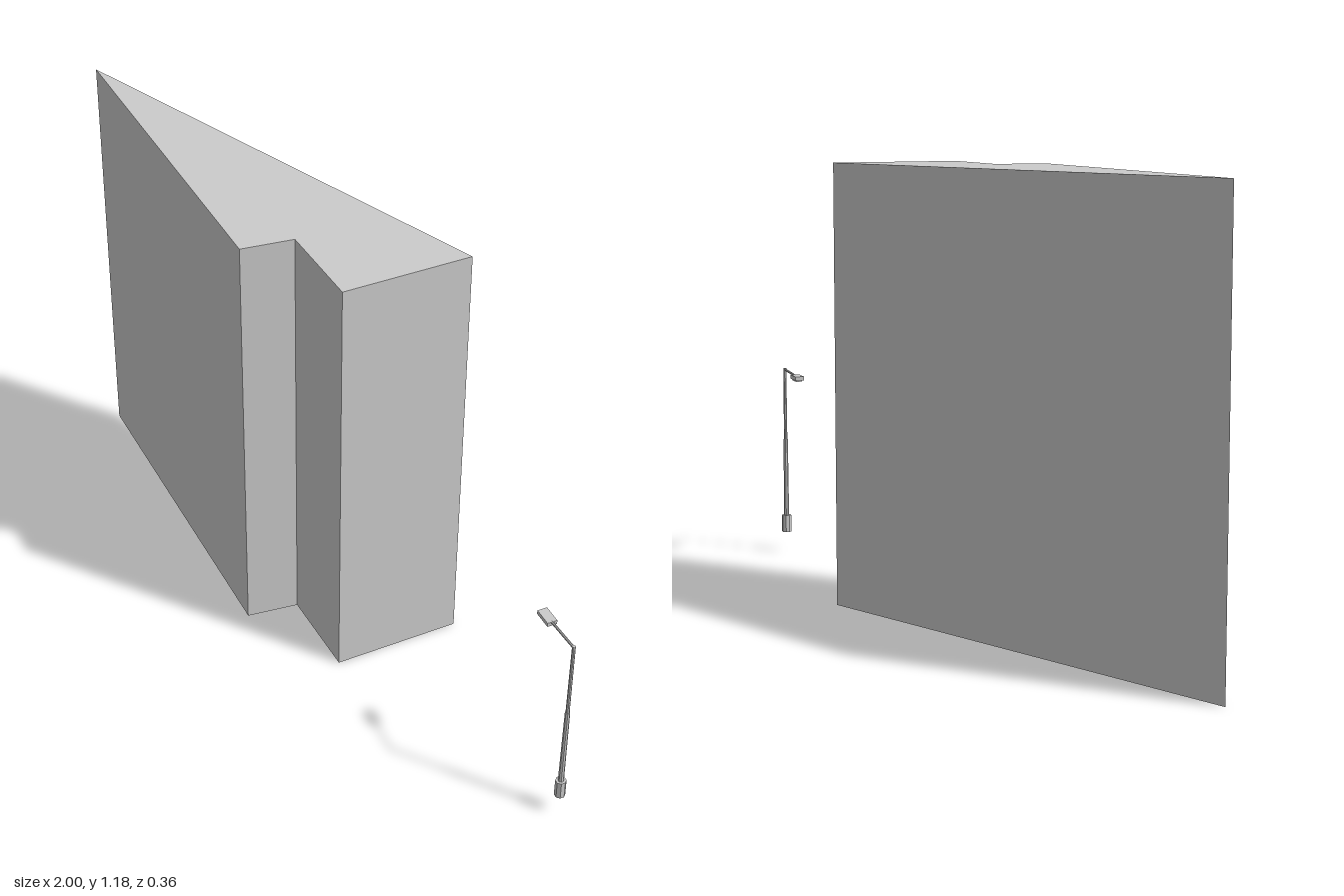
import * as THREE from 'three';

const material = new THREE.MeshStandardMaterial({ color: 0xcccccc, flatShading: true, side: THREE.DoubleSide });

function add(parent, name, geometry, x = 0, y = 0, z = 0) {
  const mesh = new THREE.Mesh(geometry, material);
  mesh.name = name;
  mesh.position.set(x, y, z);
  parent.add(mesh);
  return mesh;
}

// Wedge-shaped block with a notched front, open underneath
function createBuilding() {
  const building = new THREE.Group();
  building.name = 'building';
  const height = 1.183;
  const plan = [[-1, -0.182], [-0.072, 0.182], [-0.007, 0.058], [0.233, 0.145], [0.352, -0.182]];

  // One upright panel along each side of the plan
  plan.forEach(([ax, az], i) => {
    const [bx, bz] = plan[(i + 1) % plan.length];
    const panel = new THREE.PlaneGeometry(Math.hypot(bx - ax, bz - az), height);
    const wall = add(building, 'wall', panel, (ax + bx) / 2, height / 2, (az + bz) / 2);
    wall.rotation.y = Math.atan2(az - bz, bx - ax);
  });

  const outline = new THREE.Shape(plan.map(([x, z]) => new THREE.Vector2(x, -z)));
  add(building, 'roof', new THREE.ShapeGeometry(outline).rotateX(-Math.PI / 2), 0, height, 0);
  return building;
}

// Street lamp: stepped post, sloping arm and boxy head
function createStreetLamp() {
  const lamp = new THREE.Group();
  lamp.name = 'streetLamp';
  lamp.position.set(0.986, 0, 0.155);

  const post = (name, rTop, rBottom, y0, y1) =>
    add(lamp, name, new THREE.CylinderGeometry(rTop, rBottom, y1 - y0, 8), 0, (y0 + y1) / 2, 0);
  post('postBase', 0.014, 0.014, 0.06, 0.11);
  post('lowerPost', 0.0065, 0.0075, 0.11, 0.34);
  post('upperPost', 0.0045, 0.005, 0.34, 0.553);

  // Arm assembly points along its local +x
  const arm = new THREE.Group();
  arm.name = 'lampArm';
  arm.position.y = 0.549;
  arm.rotation.y = Math.PI - 0.384;
  lamp.add(arm);
  const rod = new THREE.CylinderGeometry(0.0035, 0.0035, 0.106, 8).rotateZ(Math.PI / 2);
  add(arm, 'armRod', rod, 0.053, -0.003, 0).rotation.z = -0.06;
  add(arm, 'lampHead', new THREE.BoxGeometry(0.05, 0.011, 0.026), 0.126, -0.009, 0);
  add(arm, 'lampLens', new THREE.BoxGeometry(0.036, 0.005, 0.018), 0.126, -0.0165, 0);
  return lamp;
}

export function createModel() {
  const model = new THREE.Group();
  model.name = 'buildingWithStreetLamp';
  model.add(createBuilding(), createStreetLamp());
  return model;
}
